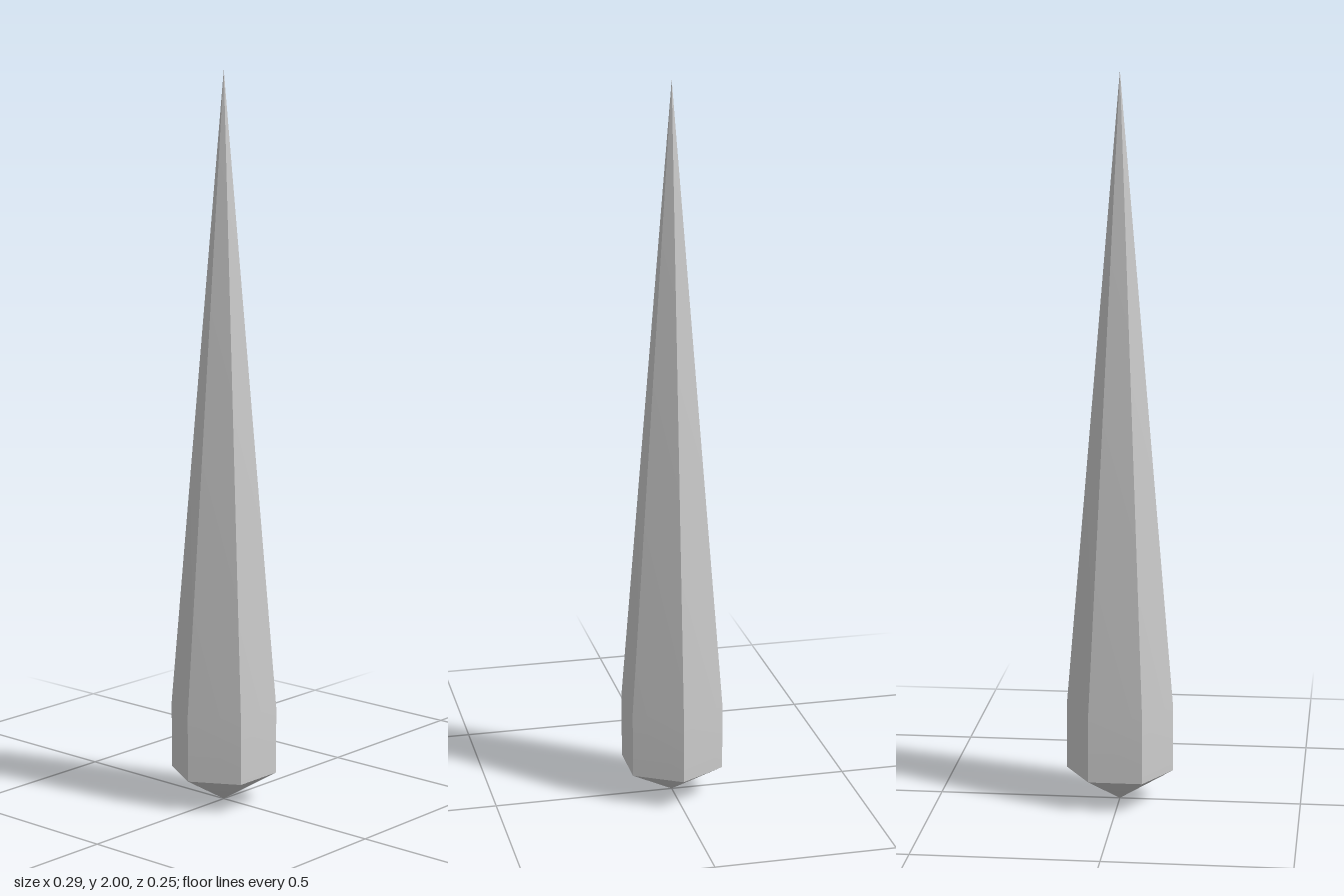
import * as THREE from 'three';
import { toCreasedNormals } from 'three/addons/utils/BufferGeometryUtils.js';

export function createModel() {
  const group = new THREE.Group();
  group.name = 'spike';

  // Six-sided spike: blunt pointed base, short straight collar, long taper
  const profile = [
    [0, 0],
    [0.147, 0.085],
    [0.147, 0.27],
    [0, 2],
  ].map(([r, y]) => new THREE.Vector2(r, y));

  // Start at a quarter turn so that corners lie on the x axis
  const lathe = new THREE.LatheGeometry(profile, 6, Math.PI / 2);

  // Sharp between the sides, smooth across the base cap and the shoulder
  const geometry = toCreasedNormals(lathe, THREE.MathUtils.degToRad(40));
  const shard = new THREE.Mesh(geometry, new THREE.MeshStandardMaterial({ color: 0xcccccc }));
  shard.name = 'shard';
  group.add(shard);

  return group;
}
